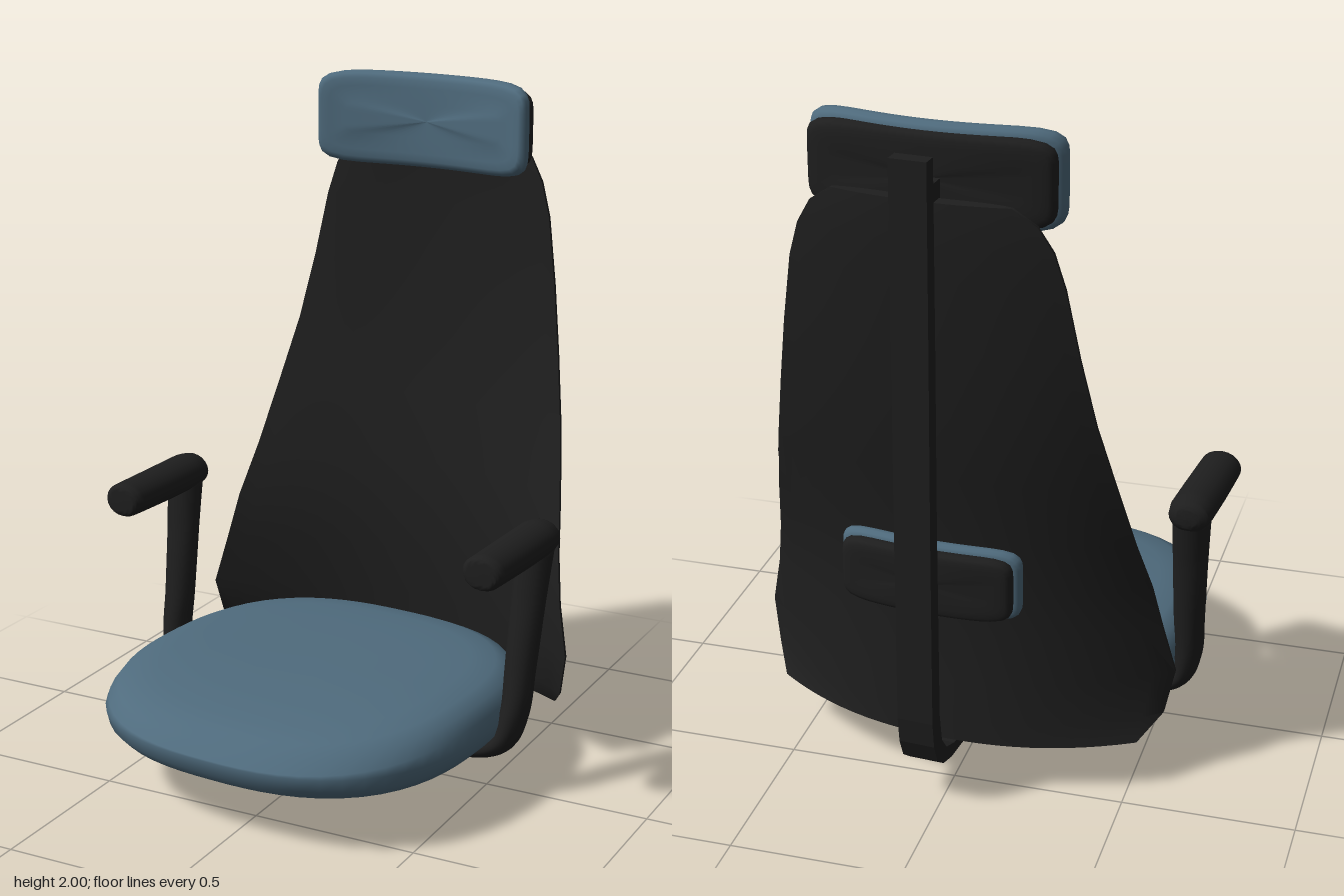
import * as THREE from 'three';
import { toCreasedNormals } from 'three/addons/utils/BufferGeometryUtils.js';

const blue = new THREE.MeshStandardMaterial({ color: 0x4f6b7d });
const black = new THREE.MeshStandardMaterial({ color: 0x1e1e1e });

// Skin closed rings of points; winding is fixed from the signed volume
function loft(rings) {
  const n = rings[0].length, pos = [], idx = [];
  rings.forEach(r => r.forEach(p => pos.push(p.x, p.y, p.z)));
  for (let i = 0; i < rings.length - 1; i++)
    for (let j = 0; j < n; j++) {
      const a = i * n + j, b = i * n + (j + 1) % n, c = a + n, d = b + n;
      idx.push(a, b, d, a, d, c);
    }
  const all = rings.flat();
  let volume = 0;
  for (let i = 0; i < idx.length; i += 3)
    volume += all[idx[i]].dot(new THREE.Vector3().crossVectors(all[idx[i + 1]], all[idx[i + 2]]));
  if (volume < 0) idx.reverse();
  const g = new THREE.BufferGeometry();
  g.setAttribute('position', new THREE.Float32BufferAttribute(pos, 3));
  g.setIndex(idx);
  g.computeVertexNormals();
  return g;
}

// Rounded pad: superellipse outline, profile of [scale, height], then a placing rule
function pad(a, b, power, profile, inset, place) {
  return loft(profile.map(([s, h]) => Array.from({ length: 64 }, (_, j) => {
    const t = j / 64 * Math.PI * 2, c = Math.cos(t), d = Math.sin(t);
    const r = 1 / (Math.abs(c) ** power + Math.abs(d) ** power) ** (1 / power);
    // inset keeps rim width even on wide pads
    const sa = inset ? a - (1 - s) * b : a * s, sb = b * s;
    return place(c * r * (s ? sa : 0), d * r * sb, h);
  })));
}

// Elliptical sweep; rows are [x, y, z, radius along axis, other radius]
function sweep(rows, axis, steps = 40) {
  const curve = new THREE.CatmullRomCurve3(rows.map(r => new THREE.Vector3(r[0], r[1], r[2])));
  const rings = [];
  for (let i = 0; i <= steps; i++) {
    const t = i / steps, f = t * (rows.length - 1), k = Math.min(Math.floor(f), rows.length - 2);
    const ra = THREE.MathUtils.lerp(rows[k][3], rows[k + 1][3], f - k);
    const rb = THREE.MathUtils.lerp(rows[k][4], rows[k + 1][4], f - k);
    const p = curve.getPoint(t), v = curve.getTangent(t).cross(axis).normalize();
    rings.push(Array.from({ length: 20 }, (_, j) => {
      const q = j / 20 * Math.PI * 2;
      return p.clone().addScaledVector(axis, Math.cos(q) * ra).addScaledVector(v, Math.sin(q) * rb);
    }));
  }
  return loft(rings);
}

// Side profile of [z, y] points extruded across x
function sideExtrude(points, width) {
  const shape = new THREE.Shape(points.map(p => new THREE.Vector2(p[0], p[1])));
  return new THREE.ExtrudeGeometry(shape, { depth: width, bevelEnabled: false })
    .translate(0, 0, -width / 2).rotateY(-Math.PI / 2);
}

export function createModel() {
  const chair = new THREE.Group();
  chair.name = 'officeChair';
  const add = (name, geometry, material) => {
    const m = new THREE.Mesh(geometry, material);
    m.name = name;
    chair.add(m);
  };

  // Seat cushion, drooping toward the front
  add('seat', pad(0.575, 0.582, 2.6,
    [[0, 0.35], [0.3, 0.35], [0.55, 0.349], [0.75, 0.345], [0.87, 0.335], [0.94, 0.315], [0.985, 0.28], [1, 0.24],
      [0.985, 0.2], [0.94, 0.17], [0.85, 0.153], [0.6, 0.143], [0, 0.14]], false,
    (x, z, y) => new THREE.Vector3(x, y - (y > 0.24 ? 0.03 * Math.max(0, z / 0.5) ** 2 : 0), z + 0.12)), blue);

  // Backrest shell: rows of [y, half width, edge z, rear centre z]
  const rows = [[0.155, 0.55, -0.37, -0.545], [0.22, 0.605, -0.29, -0.542], [0.35, 0.63, -0.268, -0.535],
    [0.5, 0.595, -0.292, -0.527], [0.64, 0.57, -0.325, -0.53], [0.8, 0.538, -0.39, -0.54], [1.0, 0.5, -0.457, -0.575],
    [1.2, 0.458, -0.513, -0.605], [1.4, 0.422, -0.55, -0.622], [1.6, 0.387, -0.572, -0.637],
    [1.7, 0.357, -0.58, -0.64], [1.77, 0.315, -0.59, -0.64], [1.815, 0.25, -0.6, -0.637]];
  const N = 24;
  const section = ([y, w, edge, rear], k = 1) => Array.from({ length: 2 * N + 2 }, (_, j) => {
    const front = j > N, u = -1 + 2 * (front ? 2 * N + 1 - j : j) / N;
    const z = rear + (edge - rear - 0.01) * Math.abs(u) ** 2.2;
    return new THREE.Vector3(u * w, y, z + (front ? 0.01 + 0.03 * (1 - u ** 4) : 0) * k);
  });
  const shell = rows.map(r => section(r));
  shell.unshift(section(rows[0], 0));
  shell.push(section(rows[rows.length - 1], 0));
  add('backrest', toCreasedNormals(loft(shell), 0.9), black);

  // Bent cushions with a dark rear cover: headrest and lumbar support
  const bentPad = (name, a, b, y0, zRear, depth, bend, material) => {
    const rim = [[0, 0], [0.35, 0], [0.7, 0], [0.86, 0.03], [0.95, 0.12], [1, 0.35],
      [1, 0.65], [0.95, 0.88], [0.86, 0.97], [0.7, 1], [0.35, 1], [0, 1]];
    add(name, pad(a, b, 7, rim, true, (x, y, h) =>
      new THREE.Vector3(x, y0 + y, zRear + h * depth + bend * x * x)), material);
    // flat middle between the two inner rims
  };
  bentPad('headrestCushion', 0.357, 0.141, 1.86, -0.572, 0.062, 0.5, blue);
  bentPad('headrestCover', 0.345, 0.122, 1.86, -0.59, 0.05, 0.3, black);
  bentPad('lumbarCushion', 0.265, 0.108, 0.705, -0.61, 0.045, 0.4, blue);
  bentPad('lumbarCover', 0.25, 0.097, 0.705, -0.645, 0.045, 0.4, black);

  // Rear spine bar curving forward under the seat
  add('spine', sideExtrude([[-0.645, 1.94], [-0.69, 1.94], [-0.695, 1.4], [-0.702, 0.9], [-0.705, 0.3], [-0.695, 0.22],
    [-0.67, 0.16], [-0.625, 0.125], [-0.56, 0.108], [-0.4, 0.1], [-0.4, 0.135], [-0.54, 0.143], [-0.6, 0.165],
    [-0.635, 0.21], [-0.65, 0.3], [-0.652, 0.9], [-0.647, 1.4]], 0.105), black);
  add('headrestBracket', new THREE.BoxGeometry(0.095, 0.07, 0.09).translate(0, 1.83, -0.61), black);

  // Mechanism under the seat and the link to the spine
  add('mechanism', sideExtrude([[0.3, 0.15], [0.3, 0.09], [0.12, 0], [-0.11, 0], [-0.11, 0.15]], 0.28), black);
  add('mechanismLink', sideExtrude([[-0.08, 0.02], [-0.28, 0.035], [-0.4, 0.06], [-0.44, 0.09], [-0.48, 0.14],
    [-0.42, 0.15], [-0.39, 0.12], [-0.3, 0.105], [-0.08, 0.115]], 0.17), black);

  // Armrests, mirrored
  for (const [side, s] of [['left', 1], ['right', -1]]) {
    add(side + 'ArmPad', toCreasedNormals(sweep([[0.612, 0.765, 0.247, 0, 0], [0.612, 0.765, 0.245, 0.05, 0.043],
      [0.612, 0.765, 0.23, 0.062, 0.051], [0.612, 0.768, 0.05, 0.065, 0.054], [0.612, 0.772, -0.09, 0.065, 0.055],
      [0.612, 0.772, -0.13, 0.058, 0.048], [0.612, 0.772, -0.145, 0.035, 0.03], [0.612, 0.772, -0.148, 0, 0]]
      .map(r => [r[0] * s, ...r.slice(1)]), new THREE.Vector3(1, 0, 0), 42), 0.9), black);
    add(side + 'ArmPost', sweep([[0.612, 0.78, -0.092, 0, 0], [0.612, 0.75, -0.088, 0.052, 0.057],
      [0.607, 0.6, -0.065, 0.045, 0.052], [0.602, 0.4, -0.035, 0.048, 0.046], [0.598, 0.26, -0.012, 0.056, 0.04],
      [0.57, 0.175, 0, 0.06, 0.035], [0.5, 0.139, 0.002, 0.06, 0.031], [0.4, 0.135, 0.002, 0.058, 0.029],
      [0.33, 0.136, 0.002, 0.045, 0.025], [0.3, 0.138, 0.002, 0, 0]]
      .map(r => [r[0] * s, ...r.slice(1)]), new THREE.Vector3(0, 0, 1), 54), black);
  }

  // The chair stands turned slightly about its axis
  chair.rotation.y = -0.073;
  const model = new THREE.Group();
  model.name = 'chair';
  model.add(chair);
  return model;
}
